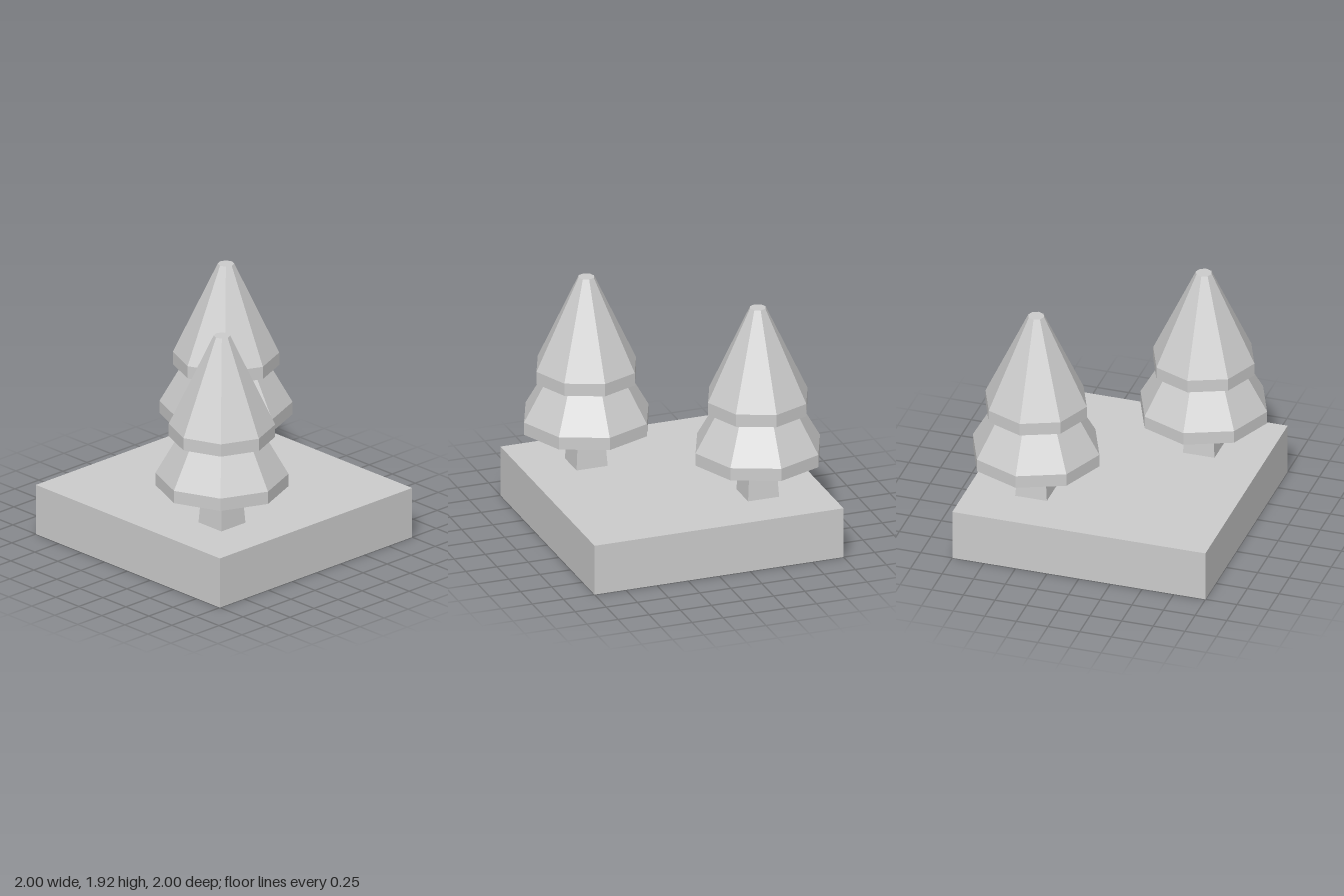
import * as THREE from 'three';

const material = new THREE.MeshStandardMaterial({ color: 0xcccccc, flatShading: true });

function addMesh(parent, name, geometry, y = 0) {
  const mesh = new THREE.Mesh(geometry, material);
  mesh.name = name;
  mesh.position.y = y;
  parent.add(mesh);
}

// Eight-sided solid from [radius, height] pairs, listed bottom to top
function octagonal(profile) {
  return new THREE.LatheGeometry(profile.map(([r, y]) => new THREE.Vector2(r, y)), 8);
}

function createTree(x, z) {
  const tree = new THREE.Group();
  tree.name = 'tree';
  tree.position.set(x, 0, z);

  // Square trunk, tapering up to the foliage
  const trunk = new THREE.CylinderGeometry(0.105 * Math.SQRT2, 0.125 * Math.SQRT2, 0.3, 4, 1, true);
  trunk.rotateY(Math.PI / 4);
  addMesh(tree, 'trunk', trunk, 0.55);

  // Two foliage tiers, each with a straight rim below a sloping cone
  addMesh(tree, 'lowerFoliage', octagonal([[0, 0.7], [0.5, 0.7], [0.5, 0.8], [0.329, 1.1]]));
  addMesh(tree, 'upperFoliage', octagonal([[0.329, 1.1], [0.4, 1.1], [0.4, 1.2], [0.0625, 1.92], [0, 1.92]]));
  return tree;
}

export function createModel() {
  const model = new THREE.Group();
  model.name = 'treesOnBlock';

  // Ground block
  addMesh(model, 'groundBlock', new THREE.BoxGeometry(2, 0.4, 2), 0.2);

  // Trees on opposite corners
  for (const s of [-1, 1]) model.add(createTree(0.5 * s, -0.5 * s));
  return model;
}
